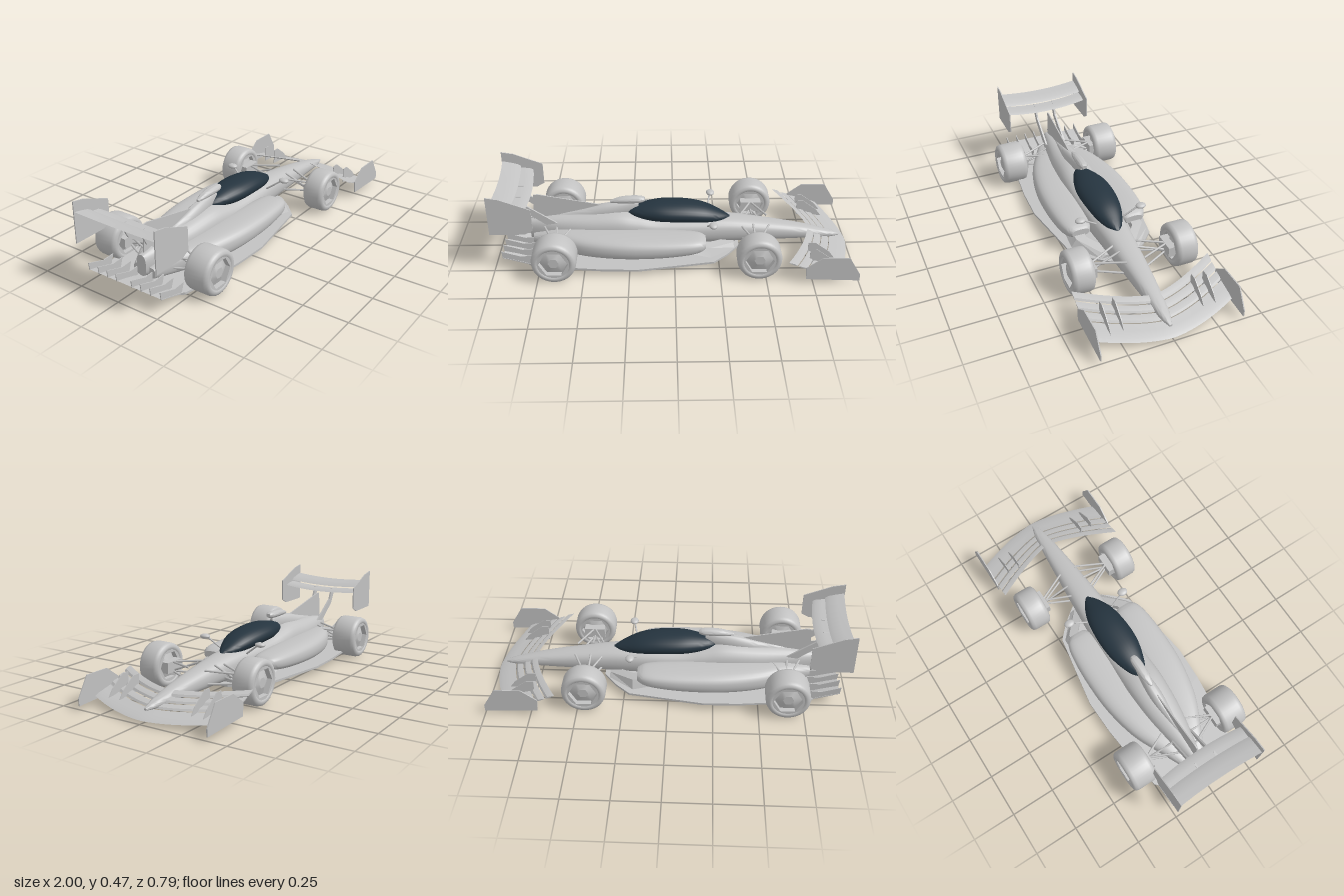
import * as THREE from 'three';
import { toCreasedNormals } from 'three/addons/utils/BufferGeometryUtils.js';

const paint = new THREE.MeshStandardMaterial({ color: 0xc2c2c2 });
paint.name = 'light grey';
const glass = new THREE.MeshStandardMaterial({ color: 0x25343f });
glass.name = 'dark canopy blue';

// Closed, capped skin over a row of rings
function skin(rings, crease = 0.7) {
  const n = rings[0].length, pos = [], idx = [];
  rings.forEach(r => r.forEach(p => pos.push(...p)));
  for (let i = 0; i < rings.length - 1; i++) {
    for (let j = 0; j < n; j++) {
      const a = i * n + j, b = i * n + (j + 1) % n;
      idx.push(a, a + n, b, a + n, b + n, b);
    }
  }
  [0, rings.length - 1].forEach((i, end) => {
    const c = pos.length / 3;
    pos.push(...[0, 1, 2].map(k => rings[i].reduce((s, p) => s + p[k], 0) / n));
    for (let j = 0; j < n; j++) {
      const a = i * n + j, b = i * n + (j + 1) % n;
      if (end) idx.push(c, b, a); else idx.push(c, a, b);
    }
  });
  const g = new THREE.BufferGeometry();
  g.setAttribute('position', new THREE.Float32BufferAttribute(pos, 3));
  g.setIndex(idx);
  return toCreasedNormals(g, crease);
}

// Smooth body along x; each row is [x, halfWidth, yBottom, yTop, centreZ]
function loft(rows, power = 2, steps = 5, sides = 28) {
  const rings = [], last = rows.length - 1;
  for (let s = 0; s <= last * steps; s++) {
    const i = Math.min(Math.floor(s / steps), last - 1), t = s / steps - i;
    const [p, a, b, q] = [i - 1, i, i + 1, i + 2].map(k => rows[Math.max(0, Math.min(last, k))]);
    const [x, w, y0, y1, z = 0] = a.map((v, k) => {
      const m0 = (b[k] - p[k]) / 2, m1 = (q[k] - v) / 2;
      return v + m0 * t + (3 * (b[k] - v) - 2 * m0 - m1) * t * t + (2 * (v - b[k]) + m0 + m1) * t * t * t;
    });
    const round = v => Math.sign(v) * Math.abs(v) ** (2 / power);
    rings.push(Array.from({ length: sides }, (_, j) => {
      const ang = j / sides * Math.PI * 2;
      return [x, (y0 + y1) / 2 + (y1 - y0) / 2 * round(Math.sin(ang)), z + w * round(Math.cos(ang))];
    }));
  }
  return skin(rings);
}

// Wing element across z; at(s, f) gives [x, y] at span share s and chord share f
function wing(half, f0, f1, thick, at) {
  const foil = [[1, 0], [0.6, 0.7], [0.2, 1], [0, 0], [0.2, -0.5], [0.6, -0.5]];
  const rings = [];
  for (let i = 0; i <= 24; i++) {
    const z = half * (i / 12 - 1);
    rings.push(foil.map(([c, h]) => {
      const [x, y] = at(Math.abs(z) / half, f0 + (f1 - f0) * c);
      return [x, y + h * thick, z];
    }));
  }
  return skin(rings, 0.5);
}

// Upright plate with an outline in x and y
function plate(points, z, thick = 0.006) {
  const shape = new THREE.Shape(points.map(p => new THREE.Vector2(...p)));
  return new THREE.ExtrudeGeometry(shape, { depth: thick, bevelEnabled: false }).translate(0, 0, z - thick / 2);
}

function rod(a, b, r = 0.006) {
  return new THREE.TubeGeometry(new THREE.LineCurve3(new THREE.Vector3(...a), new THREE.Vector3(...b)), 1, r, 8);
}

function makeWheel(half) {
  const wheel = new THREE.Group(), R = 0.122;
  const v = [[0.085, -half + 0.006], [0.092, -half], [R - 0.018, -half], [R - 0.005, -half + 0.008], [R, -half + 0.024]];
  const profile = [...v, ...v.map(([r, h]) => [r, -h]).reverse()].map(p => new THREE.Vector2(...p));
  const tyre = new THREE.Mesh(toCreasedNormals(new THREE.LatheGeometry(profile, 40).rotateX(Math.PI / 2), 0.9), paint);
  tyre.name = 'tyre';
  wheel.add(tyre);
  // Six-sided recess with a shallow cap on each face
  const ring = new THREE.Shape().absarc(0, 0, 0.09, 0, Math.PI * 2);
  ring.holes.push(new THREE.Path(Array.from({ length: 6 }, (_, k) =>
    new THREE.Vector2(0.08 * Math.cos(k * Math.PI / 3), 0.08 * Math.sin(k * Math.PI / 3)))));
  for (const side of [1, -1]) {
    const face = new THREE.Group();
    const rim = new THREE.Mesh(new THREE.ExtrudeGeometry(ring, { depth: 0.03, bevelEnabled: false, curveSegments: 20 }), paint);
    rim.position.z = half - 0.034;
    rim.name = 'wheelRim';
    const cap = new THREE.Mesh(new THREE.CylinderGeometry(0.03, 0.082, 0.022, 6).rotateY(Math.PI / 6).rotateX(Math.PI / 2), paint);
    cap.position.z = half - 0.023;
    cap.name = 'hubCap';
    face.add(rim, cap);
    if (side < 0) face.rotation.y = Math.PI;
    wheel.add(face);
  }
  return wheel;
}

export function createModel() {
  const car = new THREE.Group();
  car.name = 'racingCar';
  const add = (name, geo, mat = paint) => {
    const m = new THREE.Mesh(geo, mat);
    m.name = name;
    car.add(m);
    return m;
  };

  // Central body, canopy and intake
  add('body', loft([
    [-0.82, 0.03, 0.06, 0.18], [-0.7, 0.06, 0.045, 0.205], [-0.5, 0.095, 0.04, 0.226], [-0.32, 0.108, 0.04, 0.24],
    [-0.2, 0.108, 0.04, 0.225], [-0.08, 0.106, 0.04, 0.205], [0.1, 0.1, 0.042, 0.2], [0.3, 0.086, 0.045, 0.193],
    [0.5, 0.07, 0.047, 0.167], [0.72, 0.05, 0.05, 0.13], [0.88, 0.03, 0.05, 0.092], [0.955, 0.008, 0.056, 0.068]], 2.5));
  add('canopy', loft([
    [-0.275, 0.008, 0.222, 0.24], [-0.22, 0.05, 0.198, 0.264], [-0.12, 0.085, 0.182, 0.286], [-0.03, 0.099, 0.178, 0.291],
    [0.08, 0.096, 0.174, 0.285], [0.18, 0.08, 0.168, 0.264], [0.27, 0.044, 0.168, 0.222], [0.318, 0.008, 0.18, 0.194]]), glass);
  add('spine', loft([
    [-0.65, 0.008, 0.18, 0.215], [-0.5, 0.03, 0.17, 0.25], [-0.38, 0.036, 0.18, 0.282], [-0.25, 0.022, 0.2, 0.295],
    [-0.2, 0.012, 0.21, 0.29]]));
  add('airIntake', loft([
    [-0.36, 0.008, 0.285, 0.3], [-0.31, 0.022, 0.284, 0.318], [-0.25, 0.027, 0.284, 0.326],
    [-0.19, 0.025, 0.287, 0.325], [-0.165, 0.014, 0.295, 0.317]]));
  add('spineFin', plate([[-0.8, 0.18], [-0.4, 0.23], [-0.4, 0.27], [-0.765, 0.342], [-0.79, 0.34]], 0, 0.007));

  // Floor tray
  const edge = [[-0.84, 0.2], [-0.79, 0.255], [-0.6, 0.283], [-0.4, 0.304], [-0.2, 0.31], [0, 0.277], [0.22, 0.24],
    [0.3, 0.165], [0.37, 0.075]];
  const outline = [...edge, ...edge.map(([x, z]) => [x, -z]).reverse()].map(p => new THREE.Vector2(...p));
  add('floor', new THREE.ExtrudeGeometry(new THREE.Shape(outline), { depth: 0.012, bevelEnabled: false })
    .rotateX(Math.PI / 2).translate(0, 0.04, 0));
  add('diffuser', wing(0.24, 0, 1, 0.005, (s, f) => [-0.8 - 0.15 * f, 0.034 + 0.045 * f]));

  // Front wing: swept main plane and three flaps
  const frontFoil = (s, f) => [
    THREE.MathUtils.lerp(0.997 - 0.112 * s ** 1.6, 0.77 - 0.16 * s ** 1.4, f),
    0.019 + 0.022 * s * s + 0.094 * f ** 1.3];
  [[0, 0.42], [0.44, 0.62], [0.64, 0.81], [0.83, 1]].forEach(([a, b], i) =>
    add(i ? 'frontFlap' : 'frontWing', wing(0.39, a, b, 0.006, frontFoil)));

  // Rear wing: two elements
  add('rearWing', wing(0.256, 0, 0.45, 0.006, (s, f) => [-0.8 - 0.02 * s * s - 0.19 * f, 0.348 + 0.013 * s * s + 0.035 * f]));
  add('rearFlap', wing(0.256, 0.42, 1, 0.006, (s, f) => [-0.8 - 0.012 * s * s - 0.185 * f, 0.351 + 0.013 * s * s + 0.054 * f]));

  for (const k of [1, -1]) {
    // Side pod and the deflector ahead of it
    add('sidePod', loft([
      [-0.8, 0.03, 0.05, 0.11, 0.04 * k], [-0.66, 0.065, 0.042, 0.15, 0.075 * k], [-0.5, 0.095, 0.04, 0.164, 0.118 * k],
      [-0.3, 0.11, 0.045, 0.17, 0.147 * k], [-0.1, 0.107, 0.055, 0.17, 0.16 * k], [0.06, 0.092, 0.07, 0.167, 0.166 * k],
      [0.14, 0.074, 0.084, 0.16, 0.166 * k], [0.175, 0.05, 0.1, 0.145, 0.163 * k]], 2.8));
    add('deflector', skin([[0.1, 0.085, 0.125, 0.2], [0.2, 0.06, 0.105, 0.2], [0.34, 0.045, 0.062, 0.08]].map(
      ([x, y0, y1, z]) => [[x, y0, (z + 0.03) * k], [x, y1, z * k], [x, y1, (z - 0.06) * k], [x, y0, (z - 0.06) * k]]
        .sort(() => 0)).map(r => k > 0 ? r : r.reverse()), 0.3));

    // Wing end plates, fences and rear wing struts
    add('frontEndPlate', plate([[0.71, 0.03], [1, 0.018], [1, 0.057], [0.935, 0.165], [0.79, 0.165], [0.705, 0.1]], 0.392 * k));
    for (const z of [0.222, 0.292])
      add('wingFence', plate([[0.74, 0.06], [0.89, 0.05], [0.86, 0.09], [0.78, 0.15], [0.74, 0.15]], z * k, 0.004));
    add('rearEndPlate', plate([[-1, 0.245], [-0.81, 0.245], [-0.765, 0.27], [-0.765, 0.398], [-0.93, 0.463], [-1, 0.475]], 0.257 * k));
    add('rearWingStrut', plate([[-0.72, 0.18], [-0.66, 0.19], [-0.82, 0.3], [-0.85, 0.365], [-0.89, 0.365], [-0.84, 0.27]], 0.06 * k, 0.01));
    for (const z of [0.05, 0.11, 0.17, 0.235])
      add('diffuserFin', plate([[-0.95, 0.075], [-0.8, 0.03], [-0.78, 0.09], [-0.85, 0.085], [-0.955, 0.118]], z * k, 0.005));

    // Mirror on a stalk
    const mirror = add('mirror', new THREE.SphereGeometry(1, 20, 12));
    mirror.scale.set(0.024, 0.014, 0.03);
    mirror.position.set(0.215, 0.24, 0.181 * k);
    add('mirrorStalk', rod([0.21, 0.235, 0.165 * k], [0.19, 0.172, 0.08 * k], 0.005));

    // Wheels, hub carriers and suspension arms
    for (const [name, x, z, half] of [['frontWheel', 0.46, 0.298, 0.063], ['rearWheel', -0.655, 0.3, 0.074]]) {
      const wheel = makeWheel(half);
      wheel.name = name;
      wheel.position.set(x, 0.122, z * k);
      car.add(wheel);
      add('hubCarrier', new THREE.BoxGeometry(0.12, 0.06, 0.05).translate(x, 0.122, 0.232 * k));
      for (const dx of [0.08, -0.08]) {
        add('upperArm', rod([x, 0.145, 0.225 * k], [x + dx, 0.158, 0.05 * k]));
        add('lowerArm', rod([x, 0.095, 0.225 * k], [x + dx, 0.085, 0.05 * k]));
      }
      add('pushRod', rod([x, 0.1, 0.215 * k], [x - 0.01, 0.165, 0.05 * k]));
    }
  }
  return car;
}
